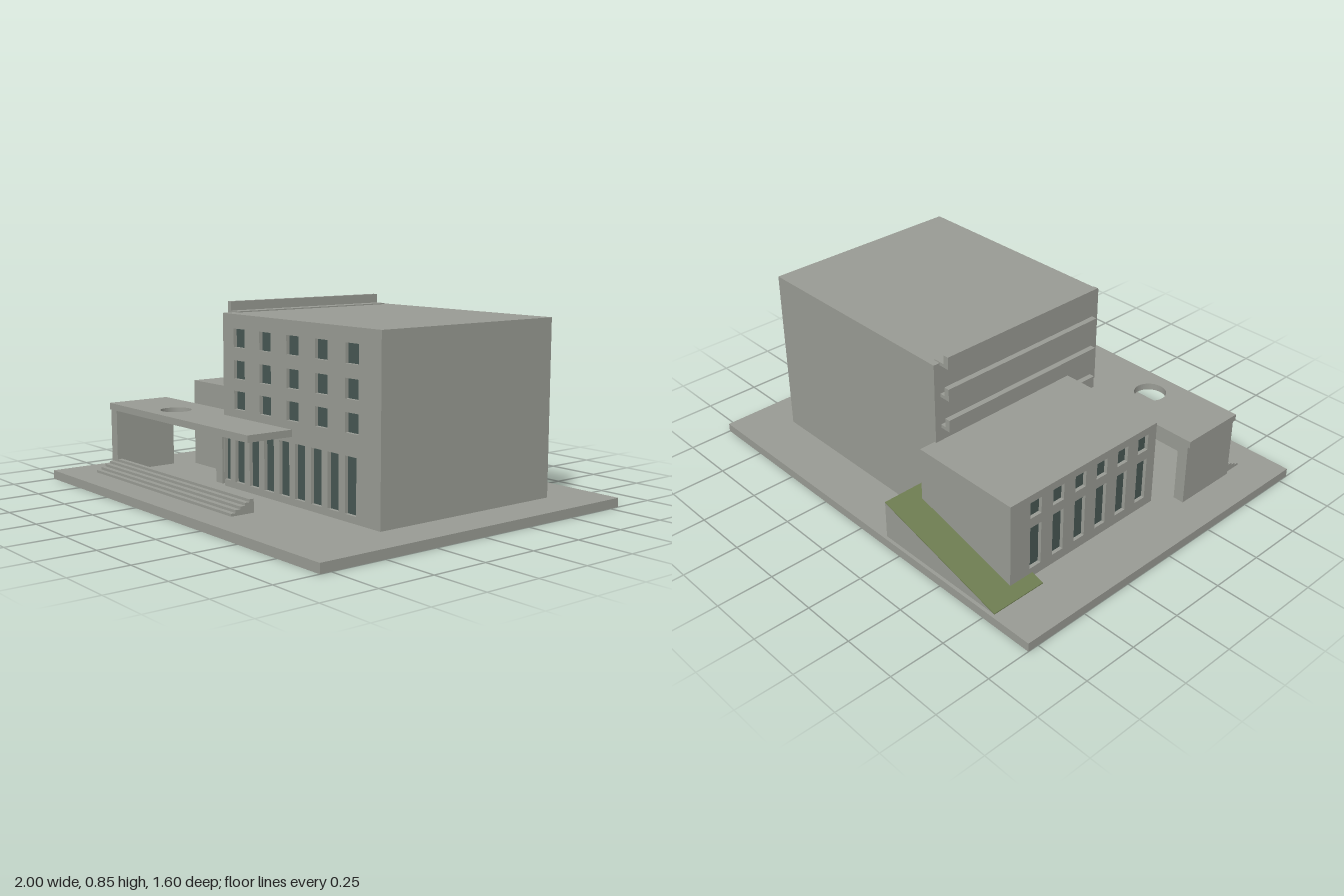
import * as THREE from 'three';

export function createModel() {
  const model = new THREE.Group();
  model.name = 'civicBuilding';
  const mat = (name, color) => {
    const m = new THREE.MeshStandardMaterial({ color });
    m.name = name;
    return m;
  };
  const concrete = mat('concrete', 0x999b94);
  const glass = mat('darkGlass', 0x475753);
  const grass = mat('grass', 0x6d7c50);

  const add = (name, geometry, material = concrete, parent = model) => {
    const mesh = new THREE.Mesh(geometry, material);
    mesh.name = name;
    parent.add(mesh);
    return mesh;
  };
  // Box given by its limits on each axis
  const block = (name, x0, x1, y0, y1, z0, z1, material, parent) => {
    const mesh = add(name, new THREE.BoxGeometry(x1 - x0, y1 - y0, z1 - z0), material, parent);
    mesh.position.set((x0 + x1) / 2, (y0 + y1) / 2, (z0 + z1) / 2);
    return mesh;
  };
  const polygon = (points) => new THREE.Shape(points.map(([x, y]) => new THREE.Vector2(x, y)));
  const rect = (x0, x1, y0, y1) => polygon([[x0, y0], [x1, y0], [x1, y1], [x0, y1]]);
  const extrude = (shape, depth) =>
    new THREE.ExtrudeGeometry(shape, { depth, bevelEnabled: false, curveSegments: 24 });

  // Wall pierced by window openings, with glass set at the back of each one
  const RECESS = 0.02;
  const facade = (name, x0, x1, y0, y1, windows) => {
    const group = new THREE.Group();
    group.name = name;
    const shape = rect(x0, x1, y0, y1);
    for (const w of windows) {
      shape.holes.push(rect(...w));
      block('windowPane', ...w, 0, 0.004, glass, group);
    }
    add('wall', extrude(shape, RECESS), concrete, group);
    model.add(group);
    return group;
  };

  block('base', -1, 1, 0, 0.04, -0.8, 0.8);

  // Main block
  block('mainBlock', -0.23, 0.81, 0.04, 0.8, -0.57, 0.36 - RECESS);
  const mainWindows = [];
  for (const y of [0.39, 0.522, 0.658]) {
    for (let i = 0; i < 5; i++) {
      const x = -0.15 + i * 0.1875;
      mainWindows.push([x, x + 0.08, y, y + 0.08]);
    }
  }
  for (let i = 0; i < 9; i++) {
    const x = -0.252 + i * 0.1065;
    mainWindows.push([Math.max(x, -0.227), x + 0.068, 0.07, 0.3]);
  }
  facade('mainFacade', -0.23, 0.81, 0.04, 0.8, mainWindows).position.z = 0.36 - RECESS;

  // Side wing with two rows of windows on its outer wall
  block('wing', -0.74 + RECESS, -0.22, 0.04, 0.44, -0.645, 0.185);
  const wingWindows = [];
  for (let i = 0; i < 6; i++) {
    const z = -0.54 + i * 0.123;
    wingWindows.push([z, z + 0.06, 0.085, 0.285], [z, z + 0.06, 0.33, 0.405]);
  }
  const wingFacade = facade('wingFacade', -0.645, 0.185, 0.04, 0.44, wingWindows);
  wingFacade.rotation.y = -Math.PI / 2;
  wingFacade.position.x = -0.74 + RECESS;

  // L-shaped ledges stacked above the wing
  const ledge = polygon([[-0.28, 0], [-0.2, 0], [-0.2, 0.015], [-0.255, 0.015], [-0.255, 0.055], [-0.28, 0.055]]);
  for (let i = 0; i < 4; i++) {
    add('ledge', extrude(ledge, 0.84)).position.set(0, 0.355 + i * 0.145, -0.54);
  }

  // Entrance canopy with a round opening, carried by a wall and a pillar
  const canopy = rect(-0.85, 0.26, -0.58, -0.275);
  const opening = new THREE.Path();
  opening.absarc(-0.48, -0.45, 0.07, 0, Math.PI * 2, true);
  canopy.holes.push(opening);
  const roof = add('canopy', extrude(canopy, 0.03));
  roof.rotation.x = -Math.PI / 2;
  roof.position.y = 0.325;
  block('canopyWall', -0.84, -0.79, 0.04, 0.325, 0.275, 0.578);
  block('canopyPillar', -0.32, -0.27, 0.04, 0.325, 0.3, 0.345);

  // Entrance steps
  const fronts = [0.665, 0.643, 0.62, 0.597, 0.575];
  fronts.forEach((front, i) => {
    const y = 0.04 + i * 0.0115;
    block('step', -0.83, 0.265, y, y + 0.0115, 0.555, front);
  });

  // Grassed ramp behind the wing
  const low = -0.8, high = -0.155;
  const rampDepth = 0.26;
  add('ramp', extrude(polygon([[low, 0.04], [high, 0.04], [high, 0.211]]), rampDepth)).position.z = -0.785;
  const turf = polygon([[low, 0.04], [high, 0.211], [high, 0.215], [low, 0.044]]);
  add('rampGrass', extrude(turf, rampDepth), grass).position.z = -0.785;

  return model;
}
